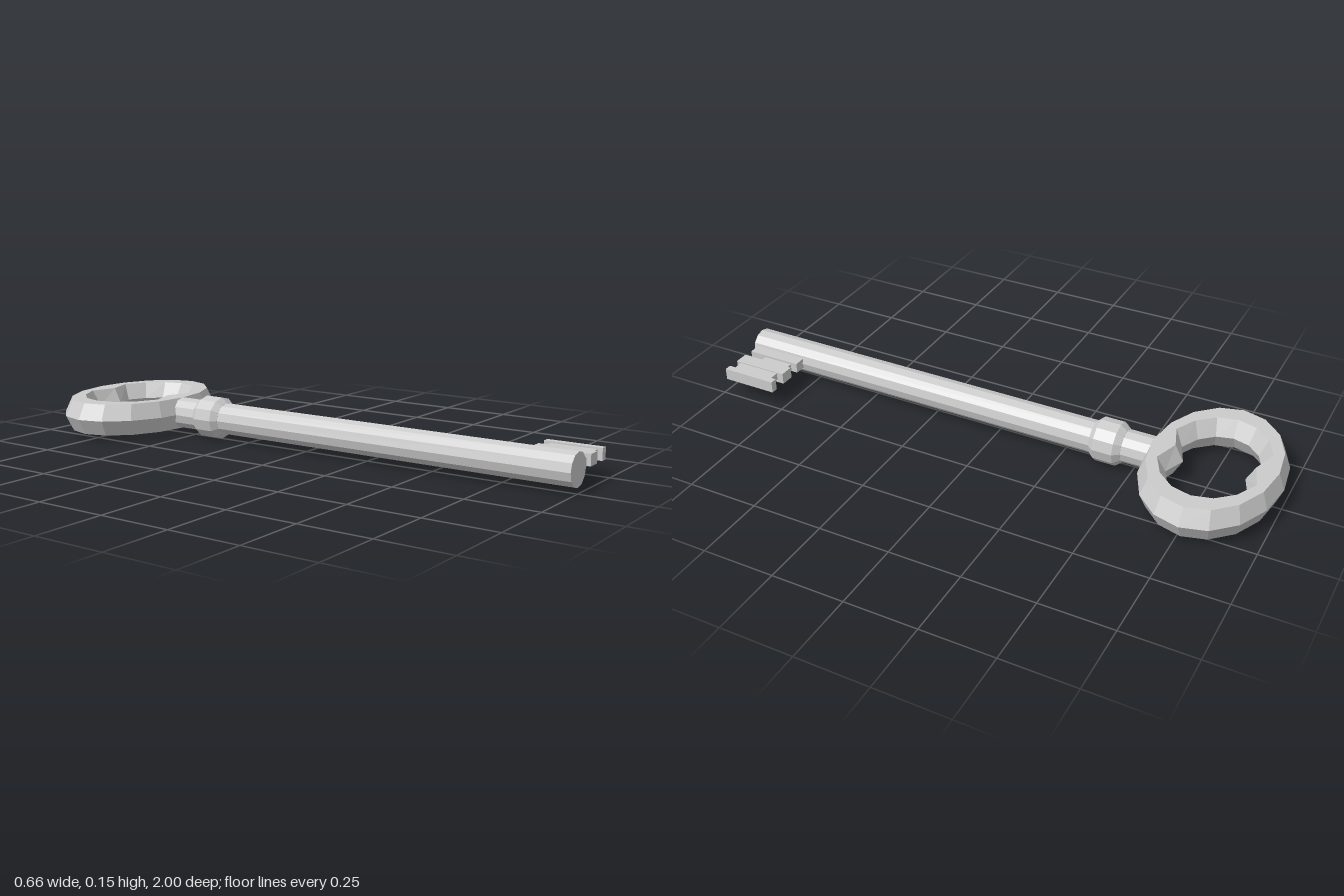
import * as THREE from 'three';

const AXIS_Y = 0.0755;
const material = new THREE.MeshStandardMaterial({ color: 0xcccccc, flatShading: true });

function addMesh(parent, name, geometry) {
  const mesh = new THREE.Mesh(geometry, material);
  mesh.name = name;
  parent.add(mesh);
  return mesh;
}

// Twelve-sided turned part lying along z; profile is [radius, z] from back to front
function turned(profile) {
  const points = profile.map(([r, z]) => new THREE.Vector2(r, z));
  return new THREE.LatheGeometry(points, 12).rotateX(Math.PI / 2).translate(0, AXIS_Y, 0);
}

// Oval ring with a hexagonal section; the inner side swells at front and back
function bowGeometry() {
  const sides = 16, h = 0.0565, centreZ = -0.768;
  // [x radius, z radius, height, z radius at the two swellings]
  const section = [
    [0.328, 0.232, 0, 0.232],
    [0.297, 0.21, h, 0.21],
    [0.232, 0.178, h, 0.135],
    [0.2, 0.148, 0, 0.105],
    [0.232, 0.178, -h, 0.135],
    [0.297, 0.21, -h, 0.21],
  ];
  const n = section.length, positions = [], index = [];
  for (let i = 0; i < sides; i++) {
    const a = (i / sides) * Math.PI * 2;
    for (const [rx, rz, y, swell] of section) {
      const depth = i % (sides / 2) === 0 ? swell : rz;
      positions.push(rx * Math.sin(a), AXIS_Y + y, centreZ + depth * Math.cos(a));
    }
    for (let j = 0; j < n; j++) {
      const next = (i + 1) % sides, k = (j + 1) % n;
      const p = i * n + j, q = next * n + j, r = next * n + k, s = i * n + k;
      index.push(p, q, r, p, r, s);
    }
  }
  const geometry = new THREE.BufferGeometry();
  geometry.setAttribute('position', new THREE.Float32BufferAttribute(positions, 3));
  geometry.setIndex(index);
  const flat = geometry.toNonIndexed();
  flat.computeVertexNormals();
  return flat;
}

export function createModel() {
  const key = new THREE.Group();
  key.name = 'key';

  addMesh(key, 'shaft', turned([[0, -0.57], [0.057, -0.57], [0.057, 1], [0, 1]]));
  addMesh(key, 'collar', turned([
    [0.05, -0.465], [0.058, -0.465], [0.0755, -0.442], [0.0755, -0.372], [0.058, -0.352], [0.05, -0.352],
  ]));
  addMesh(key, 'bow', bowGeometry());

  // Bit: blocks side by side as [x0, x1, y0, y1, z0, z1]
  const bit = new THREE.Group();
  bit.name = 'bit';
  key.add(bit);
  const blocks = [
    [0.03, 0.094, 0.058, 0.094, 0.785, 0.985],
    [0.094, 0.129, 0.058, 0.086, 0.81, 0.922],
    [0.129, 0.179, 0.058, 0.098, 0.785, 0.985],
    [0.179, 0.22, 0.069, 0.094, 0.81, 0.968],
    [0.22, 0.245, 0.058, 0.1, 0.785, 0.985],
  ];
  blocks.forEach(([x0, x1, y0, y1, z0, z1], i) => {
    const block = addMesh(bit, `bitBlock${i + 1}`, new THREE.BoxGeometry(x1 - x0, y1 - y0, z1 - z0));
    block.position.set((x0 + x1) / 2, (y0 + y1) / 2, (z0 + z1) / 2);
  });

  return key;
}
